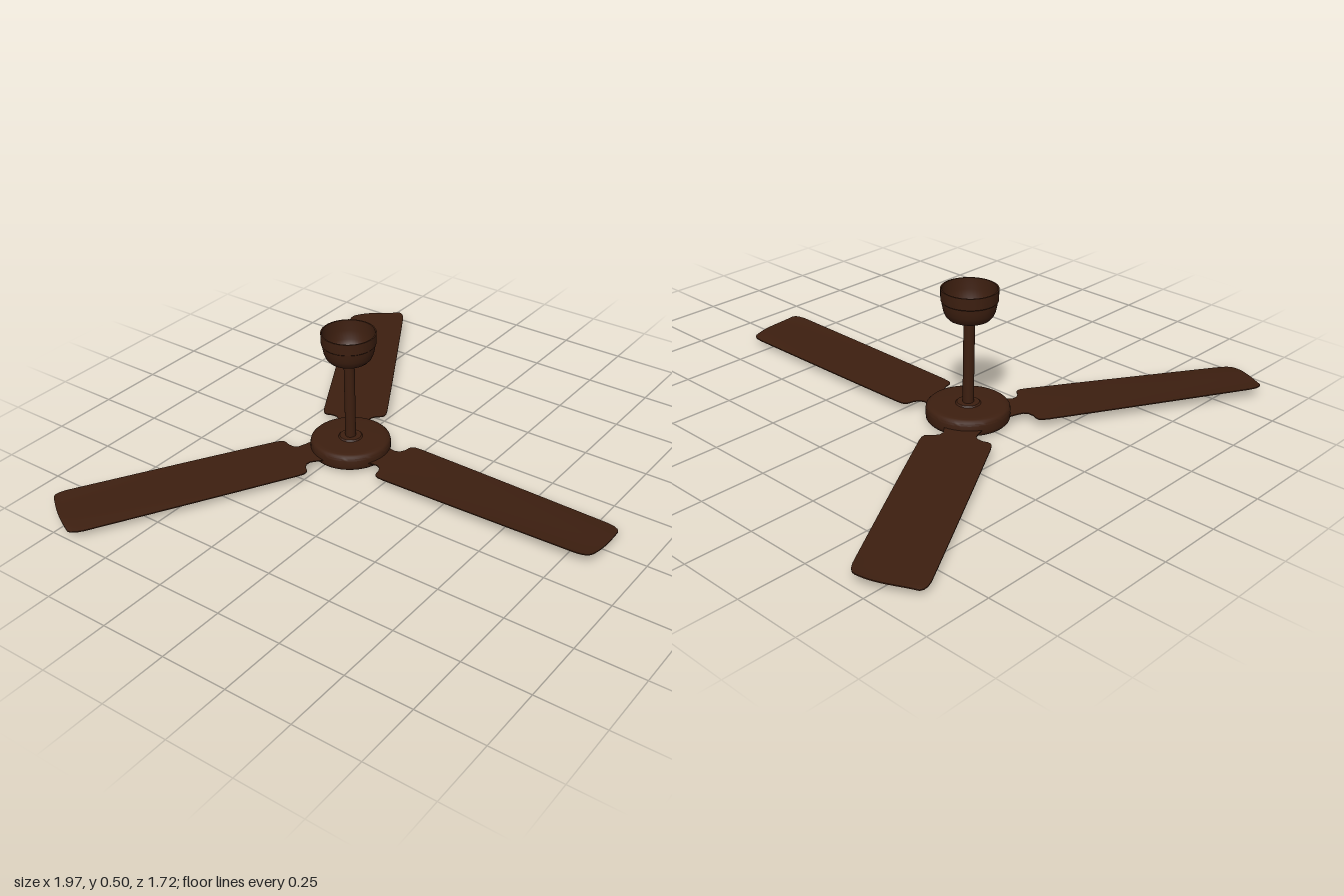
import * as THREE from 'three';
import { toCreasedNormals } from 'three/addons/utils/BufferGeometryUtils.js';

const brown = new THREE.MeshStandardMaterial({ color: 0x3d1f10, side: THREE.DoubleSide });
const rose = new THREE.MeshStandardMaterial({ color: 0x7a5550 });

function add(parent, name, geometry, material = brown) {
  const mesh = new THREE.Mesh(geometry, material);
  mesh.name = name;
  parent.add(mesh);
  return mesh;
}

// Profile of [radius, height] pairs, revolved with crisp edges
function turned(profile, sides = 48) {
  const points = profile.map(([r, y]) => new THREE.Vector2(r, y));
  return toCreasedNormals(new THREE.LatheGeometry(points, sides), 0.6);
}

// Thin blade along +z: cross-sections of [distance, half width] with a growing twist
function bladeGeometry() {
  const stations = [
    [0.1, 0.075], [0.15, 0.062], [0.175, 0.058], [0.192, 0.066], [0.203, 0.085],
    [0.206, 0.105], [0.212, 0.116], [0.225, 0.122], [0.25, 0.124],
    [0.5, 0.123], [0.75, 0.121], [0.95, 0.119], [1.03, 0.118],
    [1.055, 0.114], [1.072, 0.106], [1.08, 0.095],
  ];
  const n = 12, half = 0.002, ring = 2 * (n + 1);
  const positions = [], index = [];
  stations.forEach(([r, w]) => {
    const t = Math.max(0, (r - 0.2) / 0.88);
    for (let j = 0; j < ring; j++) {
      const under = j <= n;
      const u = -1 + (2 * (under ? j : ring - 1 - j)) / n;
      const bow = 0.008 * (1 - u * u) * t ** 4;
      const twist = -0.011 * t * (0.5 * u + 0.5 * u ** 3);
      positions.push(u * w, 0.033 + twist + (under ? -half : half), r + bow);
    }
  });
  for (let k = 0; k < stations.length - 1; k++) {
    for (let j = 0; j < ring; j++) {
      const a = k * ring + j, b = k * ring + ((j + 1) % ring);
      index.push(a, b, b + ring, a, b + ring, a + ring);
    }
  }
  // tip edge
  const last = (stations.length - 1) * ring;
  for (let j = 0; j < n; j++) {
    const a = last + j, b = last + ring - 1 - j;
    index.push(a, a + 1, b - 1, a, b - 1, b);
  }
  const geometry = new THREE.BufferGeometry();
  geometry.setAttribute('position', new THREE.Float32BufferAttribute(positions, 3));
  geometry.setIndex(index);
  return toCreasedNormals(geometry, 0.7);
}

export function createModel() {
  const fan = new THREE.Group();
  fan.name = 'ceilingFan';
  const body = new THREE.Group();
  body.name = 'body';
  body.position.z = -0.225;
  fan.add(body);

  // Motor housing, with a recessed ring underneath
  add(body, 'motorHousing', turned([
    [0, 0.012], [0.133, 0.012], [0.137, 0.01], [0.144, 0.012], [0.149, 0.018],
    [0.15, 0.026], [0.15, 0.052], [0.148, 0.06], [0.142, 0.066], [0.132, 0.069],
    [0.12, 0.07], [0.045, 0.07], [0.04, 0.075], [0, 0.075],
  ], 64));
  add(body, 'bottomCap', turned([
    [0, 0], [0.05, 0.001], [0.064, 0.004], [0.07, 0.013],
  ]));

  // Radial cooling fins on the underside
  const fins = new THREE.Group();
  fins.name = 'coolingFins';
  body.add(fins);
  const finGeometry = new THREE.BoxGeometry(0.06, 0.006, 0.006);
  finGeometry.translate(0.102, 0.011, 0);
  for (let i = 0; i < 48; i++) {
    add(fins, 'coolingFin', finGeometry, rose).rotation.y = (i / 48) * Math.PI * 2;
  }

  // Down rod with collars
  const rod = add(body, 'downRod', new THREE.CylinderGeometry(0.02, 0.02, 0.37, 32));
  rod.position.y = 0.25;
  add(body, 'rodNut', turned([
    [0, 0.415], [0.03, 0.415], [0.03, 0.432], [0.026, 0.436], [0, 0.436],
  ]));

  // Open ceiling cup
  add(body, 'ceilingCup', turned([
    [0.018, 0.393], [0.062, 0.393], [0.074, 0.397], [0.084, 0.408], [0.091, 0.425],
    [0.095, 0.445], [0.097, 0.46], [0.1, 0.463], [0.101, 0.505],
    [0.096, 0.505], [0.094, 0.463], [0.088, 0.43], [0.08, 0.412], [0.07, 0.402],
    [0.018, 0.4],
  ]));

  // Three blades
  const blades = new THREE.Group();
  blades.name = 'blades';
  blades.position.set(-0.005, 0, -0.01);
  body.add(blades);
  const geometry = bladeGeometry();
  for (let i = 0; i < 3; i++) {
    add(blades, 'blade', geometry).rotation.y = (i * Math.PI * 2) / 3;
  }
  return fan;
}
